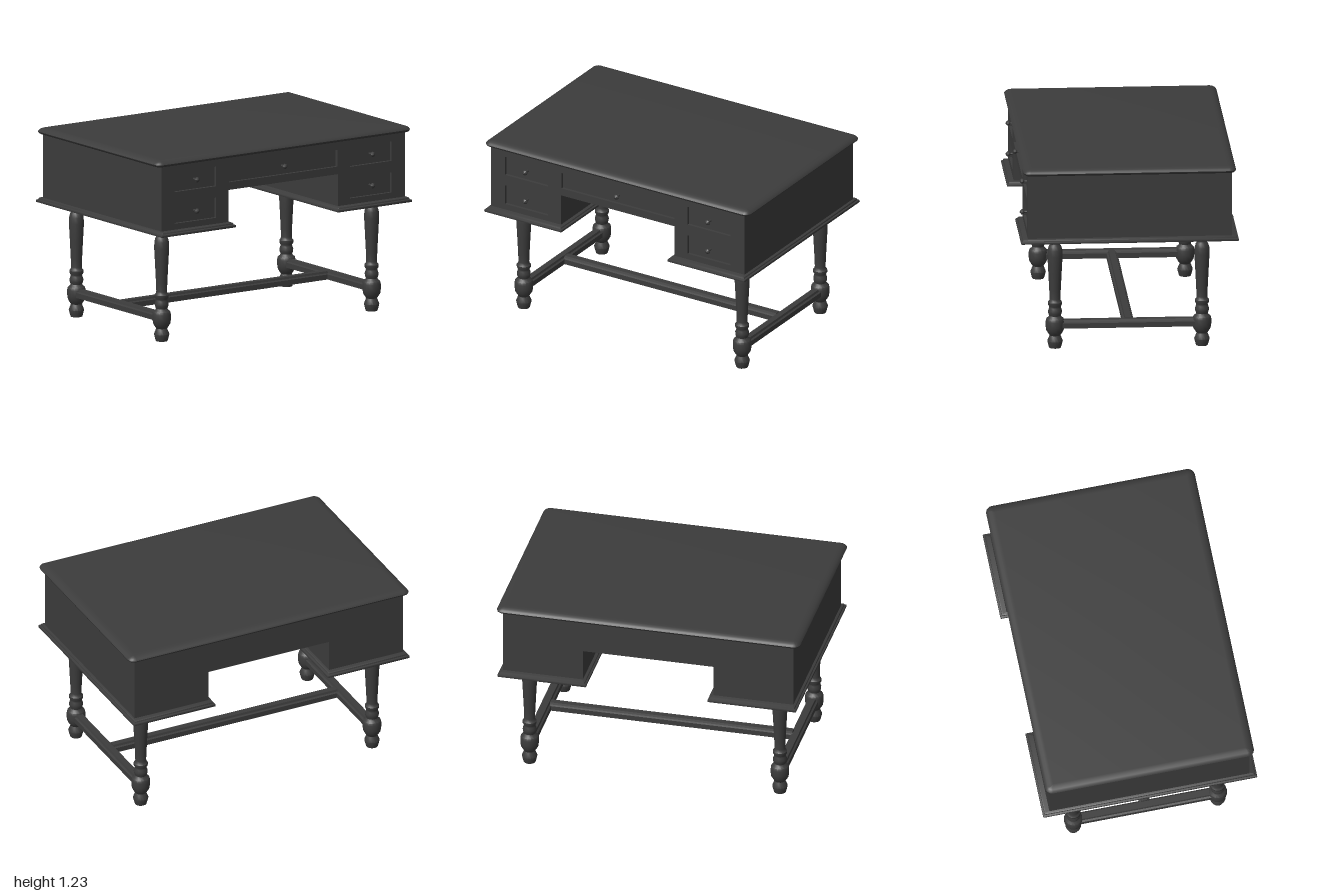
import * as THREE from 'three';
import { toCreasedNormals } from 'three/addons/utils/BufferGeometryUtils.js';

const wood = new THREE.MeshStandardMaterial({ color: 0x3c3c3c });

function add(parent, name, geometry, x = 0, y = 0, z = 0) {
  const mesh = new THREE.Mesh(geometry, wood);
  mesh.name = name;
  mesh.position.set(x, y, z);
  parent.add(mesh);
  return mesh;
}

// Moulded slab: rounded-rectangle sections stacked along a profile of [inset, y], bottom to top
function slab(halfW, halfD, radius, profile) {
  const steps = 5, pos = [], idx = [], n = 4 * (steps + 1);
  for (const [inset, y] of profile) {
    const r = Math.max(radius - inset, 0.004);
    const w = halfW - inset - r, d = halfD - inset - r;
    for (let q = 0; q < 4; q++) {
      const sx = q === 0 || q === 3 ? 1 : -1, sz = q < 2 ? 1 : -1;
      for (let s = 0; s <= steps; s++) {
        const a = (q + s / steps) * Math.PI / 2;
        pos.push(sx * w + r * Math.cos(a), y, sz * d + r * Math.sin(a));
      }
    }
  }
  const last = profile.length - 1;
  for (let j = 0; j < last; j++) {
    for (let k = 0; k < n; k++) {
      const a = j * n + k, b = j * n + (k + 1) % n;
      idx.push(a, a + n, b, b, a + n, b + n);
    }
  }
  // Flat caps
  const low = pos.length / 3, high = low + 1;
  pos.push(0, profile[0][1], 0, 0, profile[last][1], 0);
  for (let k = 0; k < n; k++) {
    const m = (k + 1) % n;
    idx.push(low, k, m, high, last * n + m, last * n + k);
  }
  const g = new THREE.BufferGeometry();
  g.setAttribute('position', new THREE.Float32BufferAttribute(pos, 3));
  g.setIndex(idx);
  return toCreasedNormals(g, 0.6);
}

const polygon = (points) => points.map(([x, y]) => new THREE.Vector2(x, y));

function extrude(shape, depth, z) {
  return new THREE.ExtrudeGeometry(shape, { depth, bevelEnabled: false }).translate(0, 0, z);
}

// Cabinet outline with the kneehole cut from below
function cabinetShape() {
  return new THREE.Shape(polygon([
    [-0.957, 0.755], [-0.43, 0.755], [-0.43, 0.97], [0.43, 0.97],
    [0.43, 0.755], [0.957, 0.755], [0.957, 1.186], [-0.957, 1.186],
  ]));
}

// Drawer fronts: name, x0, x1, y0, y1
const drawers = [['centreDrawer', -0.427, 0.427, 1.02, 1.13]];
for (const [side, s] of [['left', 1], ['right', -1]]) {
  const [x0, x1] = s > 0 ? [0.527, 0.853] : [-0.853, -0.527];
  drawers.push([side + 'UpperDrawer', x0, x1, 1.007, 1.135]);
  drawers.push([side + 'LowerDrawer', x0, x1, 0.8, 0.932]);
}

// Turned leg profile [radius, y]
const legProfile = [
  [0, 0], [0.038, 0], [0.044, 0.02], [0.05, 0.045], [0.04, 0.07], [0.035, 0.082],
  [0.044, 0.095], [0.056, 0.115], [0.06, 0.14], [0.06, 0.175], [0.056, 0.192], [0.042, 0.203],
  [0.037, 0.212], [0.044, 0.23], [0.045, 0.245], [0.039, 0.262], [0.037, 0.272],
  [0.046, 0.288], [0.046, 0.302], [0.037, 0.312], [0.035, 0.325], [0.037, 0.38],
  [0.043, 0.5], [0.049, 0.61], [0.047, 0.65], [0.04, 0.675], [0.031, 0.688],
  [0.031, 0.694], [0.041, 0.704], [0.04, 0.712], [0.033, 0.722], [0.037, 0.735],
];

// Stretcher bar with a chamfered top, running along z
function bar(length) {
  const section = new THREE.Shape(polygon([
    [-0.035, 0.132], [0.035, 0.132], [0.035, 0.165], [0.024, 0.171],
    [0.02, 0.184], [-0.02, 0.184], [-0.024, 0.171], [-0.035, 0.165],
  ]));
  return extrude(section, length, -length / 2);
}

export function createModel() {
  const desk = new THREE.Group();
  desk.name = 'desk';

  // Top with rounded underside and sloping upper edge
  add(desk, 'deskTop', slab(1, 0.682, 0.045, [
    [0.035, 1.182], [0.014, 1.184], [0.003, 1.192], [0, 1.2], [0.006, 1.209],
    [0.018, 1.217], [0.035, 1.223], [0.055, 1.225],
  ]));

  // Cabinet, and a front frame that leaves the drawers recessed
  add(desk, 'cabinet', extrude(cabinetShape(), 1.29, -0.655));
  const frame = cabinetShape();
  for (const [, x0, x1, y0, y1] of drawers) {
    frame.holes.push(new THREE.Path(polygon([[x0, y0], [x0, y1], [x1, y1], [x1, y0]])));
  }
  add(desk, 'frontFrame', extrude(frame, 0.02, 0.635));

  // Drawer panels and faceted knobs
  const knobGeometry = toCreasedNormals(new THREE.LatheGeometry(polygon([
    [0.008, 0], [0.007, 0.022], [0.018, 0.036], [0.017, 0.042], [0.008, 0.05], [0, 0.054],
  ]), 8).rotateX(Math.PI / 2), 0.5);
  for (const [name, x0, x1, y0, y1] of drawers) {
    const cx = (x0 + x1) / 2, cy = (y0 + y1) / 2 + 0.001;
    add(desk, name, new THREE.BoxGeometry(x1 - x0 - 0.008, y1 - y0 - 0.008, 0.01), cx, cy, 0.634);
    add(desk, name + 'Knob', knobGeometry, cx, cy, 0.637);
  }

  // Base mouldings, legs and side stretchers
  const moulding = slab(0.293, 0.7, 0.006, [
    [0.012, 0.727], [0.002, 0.73], [0, 0.736], [0.002, 0.744], [0.012, 0.748], [0.014, 0.756], [0.022, 0.761],
  ]);
  const leg = toCreasedNormals(new THREE.LatheGeometry(polygon(legProfile), 16), 0.7);
  for (const [side, s] of [['left', 1], ['right', -1]]) {
    add(desk, side + 'BaseMoulding', moulding, s * 0.692);
    add(desk, side + 'FrontLeg', leg, s * 0.825, 0, 0.472);
    add(desk, side + 'BackLeg', leg, s * 0.825, 0, -0.472);
    add(desk, side + 'Stretcher', bar(0.9), s * 0.825);
  }

  // Long stretcher joining the two sides
  add(desk, 'centreStretcher', bar(1.6)).rotation.y = Math.PI / 2;

  return desk;
}
